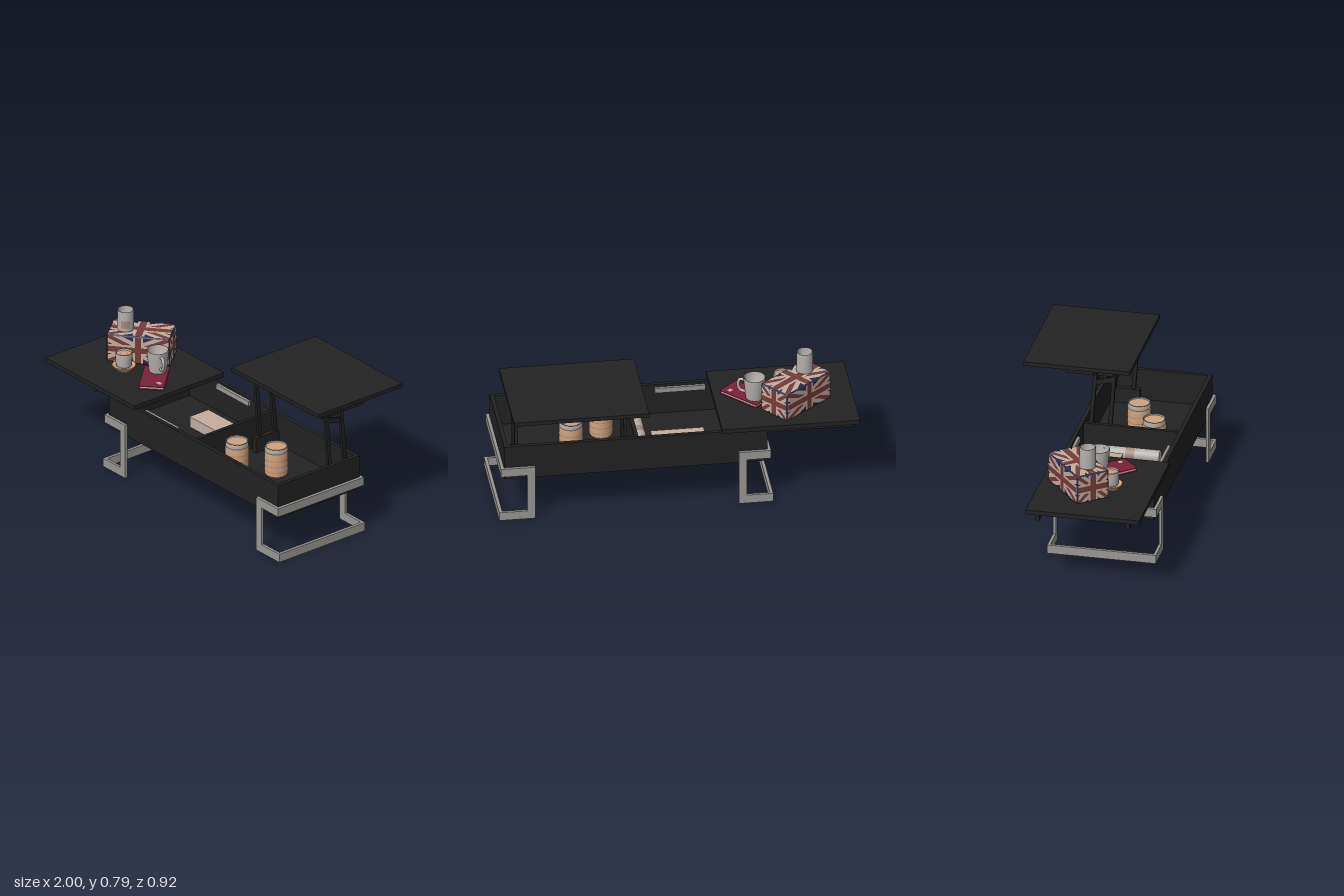
import * as THREE from 'three';
import { RoundedBoxGeometry } from 'three/addons/geometries/RoundedBoxGeometry.js';

const mat = (name, color) => {
  const m = new THREE.MeshStandardMaterial({ color, side: THREE.DoubleSide });
  m.name = name;
  return m;
};

export function createModel() {
  const black = mat('black wood', 0x222222);
  const steel = mat('brushed steel', 0x9a9793);
  const ceramic = mat('grey ceramic', 0xb3afac);
  const cream = mat('cream', 0xc6ae9f);
  const navy = mat('navy', 0x272c4e);
  const red = mat('brick red', 0x743c38);
  const burgundy = mat('burgundy', 0x7c2039);
  const peach = mat('peach', 0xd0a27c);
  const brown = mat('soft brown', 0xa5877a);

  const root = new THREE.Group();
  root.name = 'liftTopTable';
  const group = (name, parent = root) => {
    const g = new THREE.Group();
    g.name = name;
    parent.add(g);
    return g;
  };
  const add = (parent, name, geo, m, x = 0, y = 0, z = 0) => {
    const mesh = new THREE.Mesh(geo, m);
    mesh.name = name;
    mesh.position.set(x, y, z);
    parent.add(mesh);
    return mesh;
  };
  // Box given by its limits on each axis
  const box = (parent, name, m, x0, x1, y0, y1, z0, z1) =>
    add(parent, name, new THREE.BoxGeometry(x1 - x0, y1 - y0, z1 - z0), m,
      (x0 + x1) / 2, (y0 + y1) / 2, (z0 + z1) / 2);
  const lathe = (pts) => new THREE.LatheGeometry(pts.map(p => new THREE.Vector2(...p)), 32);

  // Open storage body
  const body = group('body');
  box(body, 'floor', black, -0.49, 0.97, 0.253, 0.272, -0.15, 0.43);
  box(body, 'frontWall', black, -0.49, 0.97, 0.272, 0.455, 0.408, 0.43);
  box(body, 'backWall', black, -0.49, 0.97, 0.272, 0.455, -0.15, -0.128);
  box(body, 'endWallRight', black, -0.49, -0.468, 0.272, 0.455, -0.128, 0.408);
  box(body, 'endWallLeft', black, 0.948, 0.97, 0.272, 0.455, -0.128, 0.408);
  box(body, 'divider', black, 0.222, 0.244, 0.272, 0.45, -0.128, 0.408);

  // C-shaped strap legs, open towards each end of the table
  for (const [side, inner, top, foot] of [['right', -0.33, -0.508, -0.52], ['left', 0.8, 0.99, 1.0]]) {
    const leg = group(side + 'Leg');
    const s = Math.sign(foot - inner);
    const span = (name, a, b, y0, y1, z0, z1) =>
      box(leg, name, steel, Math.min(a, b), Math.max(a, b), y0, y1, z0, z1);
    for (const [z0, z1] of [[0.43, 0.446], [-0.166, -0.15]]) {
      span('topStrap', inner, top, 0.275, 0.325, z0, z1);
      span('upright', inner, inner + s * 0.045, 0.05, 0.275, z0, z1);
      span('footStrap', inner, foot, 0, 0.05, z0, z1);
    }
    span('topEndStrap', top - s * 0.018, top, 0.275, 0.325, -0.15, 0.43);
    span('footEndStrap', foot - s * 0.018, foot, 0, 0.05, -0.15, 0.43);
  }

  // Sliding top with its runners
  const slide = group('slidingTop');
  box(slide, 'slidingPanel', black, -1, -0.235, 0.46, 0.486, -0.18, 0.46);
  for (const z of [-0.118, 0.39]) {
    box(slide, 'outerRunner', black, -0.98, -0.49, 0.42, 0.46, z - 0.012, z + 0.012);
    box(slide, 'innerRunner', steel, -0.22, 0.06, 0.415, 0.445, z - 0.008, z + 0.008);
  }
  const catchHook = add(slide, 'catchHook',
    new THREE.TorusGeometry(0.014, 0.003, 6, 12, Math.PI), black, -0.655, 0.405, 0.39);
  catchHook.rotation.z = -Math.PI / 2;

  // Raised worktop with apron
  const lift = group('liftTop');
  box(lift, 'liftPanel', black, 0.21, 0.96, 0.77, 0.793, -0.465, 0.135);
  box(lift, 'apronFront', black, 0.31, 0.88, 0.71, 0.77, 0.03, 0.05);
  box(lift, 'apronBack', black, 0.31, 0.88, 0.71, 0.77, -0.245, -0.225);
  for (const x of [0.31, 0.88]) box(lift, 'apronSide', black, x - 0.01, x + 0.01, 0.71, 0.77, -0.245, 0.05);

  // Lifting arms and links
  const rod = (name, x, a, b, thick, w) => {
    const dz = b[0] - a[0], dy = b[1] - a[1];
    const m = add(lift, name, new THREE.BoxGeometry(w, Math.hypot(dz, dy), thick), black,
      x, (a[1] + b[1]) / 2, (a[0] + b[0]) / 2);
    m.rotation.x = Math.atan2(dz, dy);
  };
  for (const x of [0.292, 0.898]) {
    rod('frontArm', x, [0.0, 0.33], [0.03, 0.74], 0.022, 0.018);
    rod('rearArm', x, [-0.108, 0.33], [-0.076, 0.74], 0.022, 0.018);
    rod('armLink', x, [0.02, 0.698], [-0.085, 0.67], 0.03, 0.014);
    box(lift, 'baseBracket', black, x - 0.015, x + 0.015, 0.272, 0.36, -0.125, 0.04);
    for (const [z, y] of [[0.029, 0.732], [-0.077, 0.732]]) {
      add(lift, 'pivot', new THREE.CylinderGeometry(0.008, 0.008, 0.04, 12), black, x, y, z).rotation.z = Math.PI / 2;
    }
  }
  box(lift, 'crossbar', black, 0.292, 0.898, 0.658, 0.682, -0.092, -0.074);

  // Flag-patterned box: plates stacked on every visible face
  const chest = group('patternedBox');
  chest.position.set(-0.675, 0.571, 0.045);
  chest.rotation.y = 0.69;
  const L = 0.355, H = 0.168, D = 0.195;
  add(chest, 'boxCore', new RoundedBoxGeometry(L, H, D, 3, 0.012), navy);
  const plate = (pts) => new THREE.ShapeGeometry(new THREE.Shape(pts.map(p => new THREE.Vector2(...p))));
  const diagonal = (w, h, t) => plate([[-w, -h], [-w + t * w, -h], [w, h - t * h], [w, h], [w - t * w, h], [-w, -h + t * h]]);
  const flag = (name, width, height, dist, rx, ry) => {
    const f = group(name, chest);
    f.rotation.set(rx, ry, 0);
    const w = width / 2 - 0.006, h = height / 2 - 0.006;
    const layer = (n, geo, m, i) => add(f, n, geo, m, 0, 0, dist + 0.0008 * i);
    [[cream, 0.48, 1], [red, 0.16, 2]].forEach(([m, t, i]) => {
      layer('diagonal', diagonal(w, h, t), m, i);
      layer('diagonal', diagonal(w, h, t).scale(-1, 1, 1), m, i);
    });
    const c = Math.min(w, h);
    [[cream, 0.36, 3], [red, 0.21, 4]].forEach(([m, t, i]) => {
      layer('crossAcross', new THREE.PlaneGeometry(2 * w, 2 * c * t), m, i);
      layer('crossUp', new THREE.PlaneGeometry(2 * c * t, 2 * h), m, i);
    });
  };
  flag('frontPattern', L, H, D / 2, 0, 0);
  flag('backPattern', L, H, D / 2, 0, Math.PI);
  flag('leftPattern', D, H, L / 2, 0, Math.PI / 2);
  flag('rightPattern', D, H, L / 2, 0, -Math.PI / 2);
  flag('topPattern', L, D, H / 2, -Math.PI / 2, 0);

  // Tall beaker standing on the patterned box
  const beaker = group('beaker');
  beaker.position.set(-0.733, 0.656, 0.11);
  add(beaker, 'beakerShell', lathe([[0, 0], [0.044, 0], [0.047, 0.005], [0.045, 0.12], [0.041, 0.12], [0.041, 0.012], [0, 0.012]]), ceramic);
  add(beaker, 'beakerMotif', new THREE.CylinderGeometry(0.0472, 0.0478, 0.045, 16, 1, true, 0.3, 1.1), brown, 0, 0.045, 0);

  // Notebook
  const book = group('notebook');
  book.position.set(-0.415, 0.486, 0.168);
  book.rotation.y = -0.82;
  box(book, 'pages', cream, -0.125, 0.122, 0.003, 0.015, -0.066, 0.066);
  box(book, 'lowerCover', burgundy, -0.128, 0.128, 0, 0.003, -0.07, 0.07);
  box(book, 'upperCover', burgundy, -0.128, 0.128, 0.015, 0.019, -0.07, 0.07);
  box(book, 'coverLabel', cream, 0.07, 0.095, 0.019, 0.0205, -0.05, -0.022);

  // Mug with a side handle
  const mug = group('mug');
  mug.position.set(-0.455, 0.505, 0.11);
  mug.rotation.y = -0.35;
  add(mug, 'mugShell', lathe([[0, 0], [0.046, 0], [0.05, 0.008], [0.062, 0.13], [0.057, 0.13], [0.046, 0.015], [0, 0.015]]), ceramic);
  const handle = new THREE.CatmullRomCurve3([[0.054, 0.105], [0.082, 0.108], [0.093, 0.075], [0.08, 0.042], [0.049, 0.034]]
    .map(([x, y]) => new THREE.Vector3(x, y, 0)));
  add(mug, 'mugHandle', new THREE.TubeGeometry(handle, 20, 0.009, 10), ceramic);

  // Small coffee cup on its saucer
  const cup = group('coffeeCup');
  cup.position.set(-0.62, 0.486, 0.215);
  add(cup, 'saucer', lathe([[0, 0], [0.045, 0], [0.064, 0.022], [0.066, 0.029], [0.06, 0.027], [0.042, 0.02], [0, 0.02]]), peach);
  add(cup, 'cupShell', lathe([[0, 0.021], [0.04, 0.021], [0.045, 0.035], [0.047, 0.104], [0.043, 0.104], [0.041, 0.035], [0, 0.035]]), ceramic);
  add(cup, 'coffee', new THREE.CircleGeometry(0.042, 28), peach, 0, 0.095, 0).rotation.x = -Math.PI / 2;
  add(cup, 'coffeeSwirl', new THREE.RingGeometry(0.018, 0.024, 24), brown, 0, 0.0958, 0).rotation.x = -Math.PI / 2;

  // Storage jars inside the body
  for (const [x, z] of [[0.38, 0.235], [0.565, 0.108]]) {
    const jar = group('jar');
    jar.position.set(x, 0.272, z);
    add(jar, 'jarBody', lathe([[0, 0], [0.06, 0], [0.066, 0.01], [0.066, 0.135], [0.06, 0.145], [0, 0.145]]), peach);
    add(jar, 'jarRim', lathe([[0.061, 0.143], [0.064, 0.143], [0.064, 0.17], [0.058, 0.17], [0.058, 0.143]]), ceramic);
    add(jar, 'jarLid', new THREE.CylinderGeometry(0.057, 0.057, 0.02, 28), peach, 0, 0.154, 0);
    for (const y of [0.03, 0.065, 0.1]) {
      add(jar, 'jarBand', new THREE.CylinderGeometry(0.0668, 0.0668, 0.005, 28, 1, true), brown, 0, y, 0);
    }
  }

  // Stored book and paper roll
  box(root, 'storedBook', cream, -0.17, 0.12, 0.272, 0.33, -0.005, 0.115);
  box(root, 'storedBookCover', cream, -0.172, 0.122, 0.33, 0.336, 0.013 - 0.03, 0.117);
  const roll = group('paperRoll');
  roll.position.set(0.183, 0.309, 0.147);
  roll.rotation.x = Math.PI / 2;
  add(roll, 'rollBody', new THREE.CylinderGeometry(0.036, 0.036, 0.33, 24), ceramic);
  add(roll, 'rollBand', new THREE.CylinderGeometry(0.0368, 0.0368, 0.05, 24, 1, true), brown);

  return root;
}
